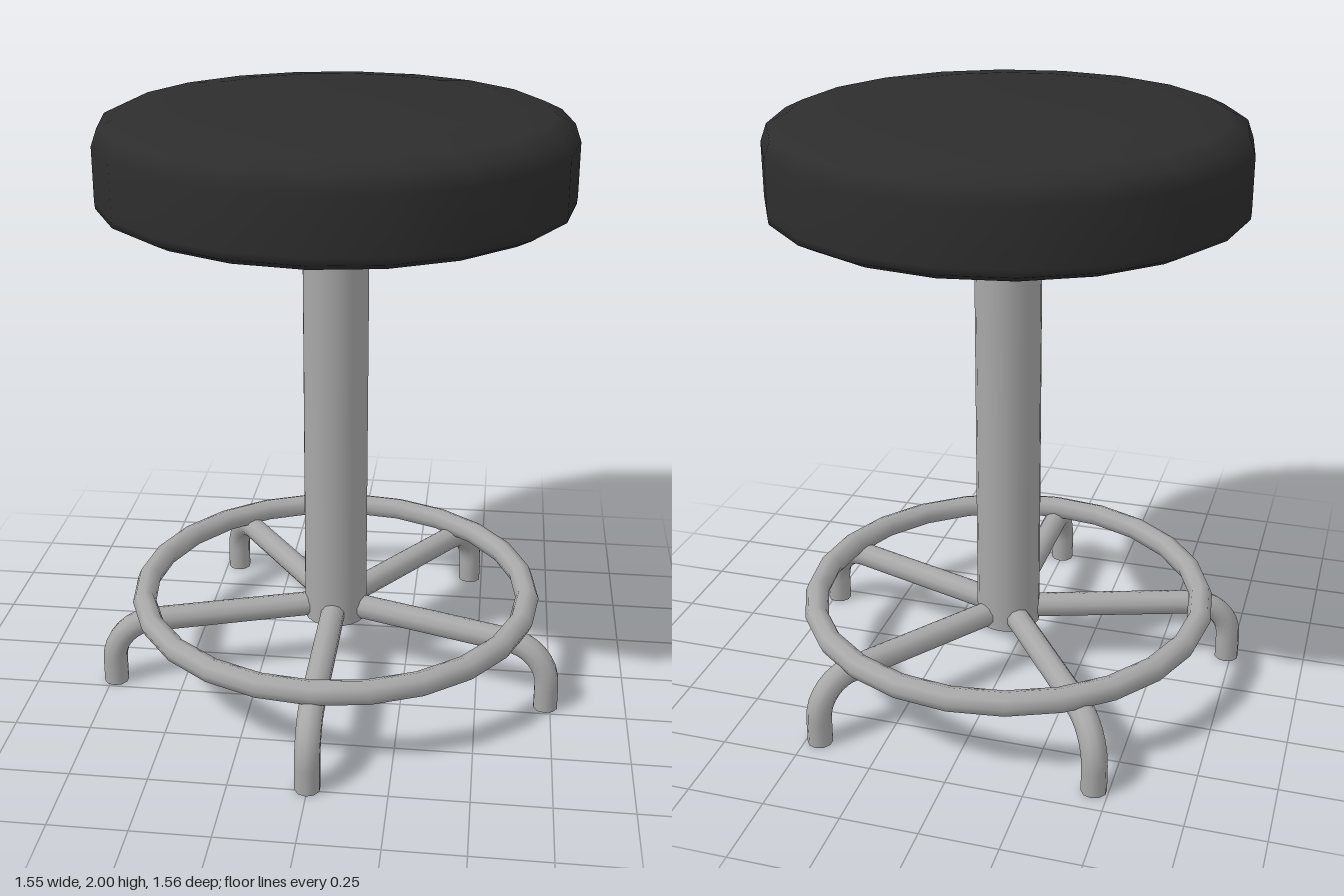
import * as THREE from 'three';

const LEG_COUNT = 5;
const TUBE_RADIUS = 0.041;

export function createModel() {
  const vinyl = new THREE.MeshStandardMaterial({ color: 0x2d2d2d });
  vinyl.name = 'blackVinyl';
  const metal = new THREE.MeshStandardMaterial({ color: 0xa8a8a8 });
  metal.name = 'greyMetal';

  const stool = new THREE.Group();
  stool.name = 'stool';
  stool.position.z = -0.034;

  const add = (name, geometry, material, parent = stool) => {
    const mesh = new THREE.Mesh(geometry, material);
    mesh.name = name;
    parent.add(mesh);
    return mesh;
  };

  // Padded round seat with a slightly domed top
  const seatProfile = [
    [0, 1.64], [0.68, 1.64], [0.70, 1.643], [0.748, 1.668], [0.75, 1.69],
    [0.75, 1.86], [0.73, 1.915], [0.67, 1.943], [0.5, 1.966], [0, 2],
  ].map(([r, y]) => new THREE.Vector2(r, y));
  add('seat', new THREE.LatheGeometry(seatProfile, 20), vinyl);

  // Central column
  const column = add('column', new THREE.CylinderGeometry(0.107, 0.107, 1.47, 20), metal);
  column.position.y = 0.915;

  // Foot ring resting on the legs
  const ring = add('footRing', new THREE.TorusGeometry(0.662, 0.04, 8, 24), metal);
  ring.rotation.x = Math.PI / 2;
  ring.position.y = 0.274;

  // Bent tube legs, the first one pointing forward
  const v = (y, z) => new THREE.Vector3(0, y, z);
  const legPath = new THREE.CurvePath();
  legPath.add(new THREE.LineCurve3(v(0.222, 0.04), v(0.222, 0.64)));
  legPath.add(new THREE.CubicBezierCurve3(
    v(0.222, 0.64), v(0.222, 0.713), v(0.163, 0.772), v(0.09, 0.772)));
  legPath.add(new THREE.LineCurve3(v(0.09, 0.772), v(0, 0.772)));
  const legGeometry = new THREE.TubeGeometry(legPath, 32, TUBE_RADIUS, 10);
  const capGeometry = new THREE.CircleGeometry(TUBE_RADIUS, 10);

  for (let i = 0; i < LEG_COUNT; i++) {
    const leg = new THREE.Group();
    leg.name = `leg${i + 1}`;
    leg.rotation.y = (i / LEG_COUNT) * Math.PI * 2;
    add('legTube', legGeometry, metal, leg);
    const cap = add('legEnd', capGeometry, metal, leg);
    cap.rotation.x = Math.PI / 2;
    cap.position.set(0, 0, 0.772);
    stool.add(leg);
  }

  const model = new THREE.Group();
  model.name = 'roundStool';
  model.add(stool);
  return model;
}
